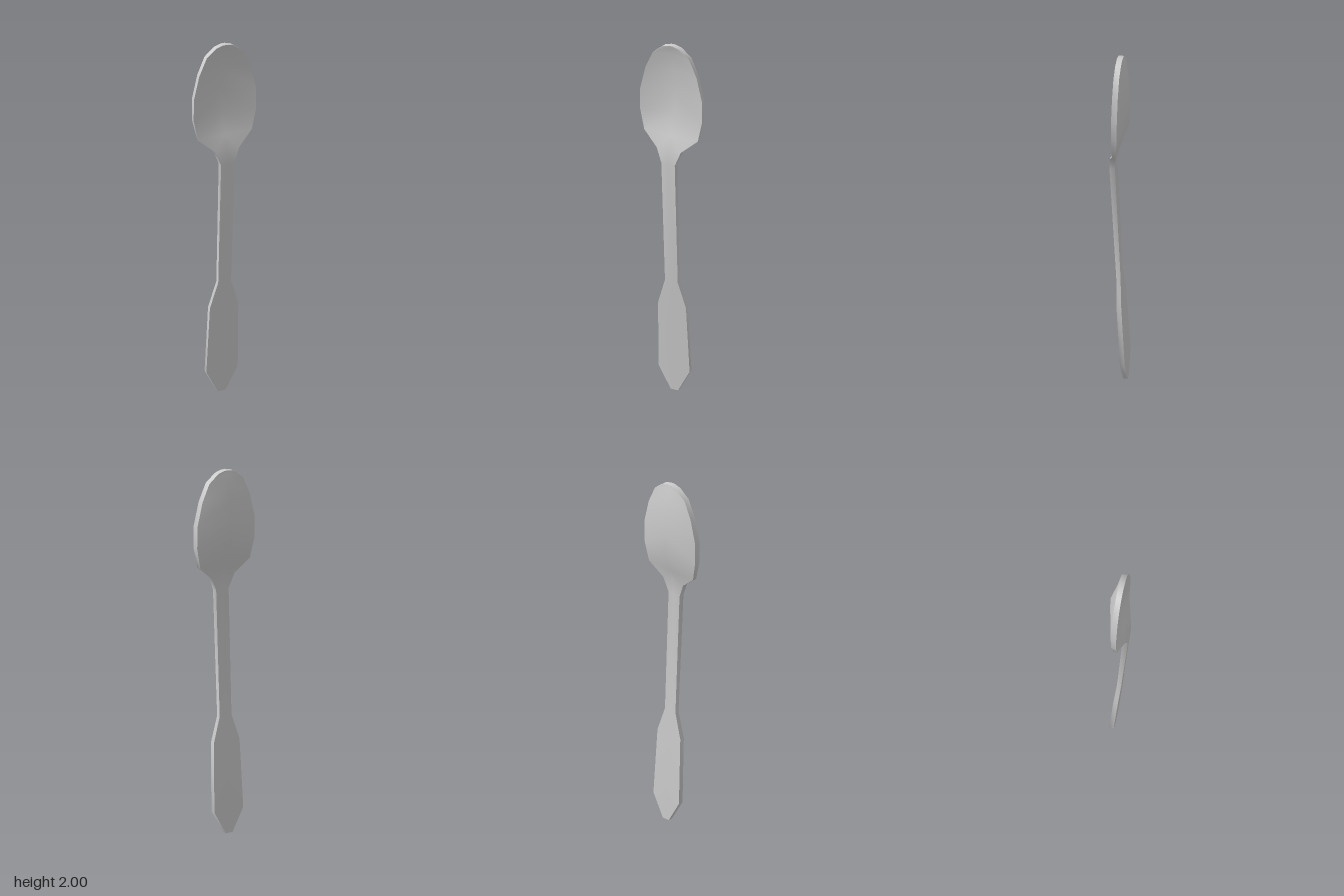
import * as THREE from 'three';
import { toCreasedNormals } from 'three/addons/utils/BufferGeometryUtils.js';

// Sections from handle end to bowl tip:
// [y, half width, rim front z, rim back z, centre front z, centre back z]
const sections = [
  [0.00, 0.022, -0.020, -0.043, -0.020, -0.043],
  [0.125, 0.093, -0.015, -0.040, -0.013, -0.040],
  [0.50, 0.083, 0.006, -0.019, 0.008, -0.019],
  [0.64, 0.038, 0.014, -0.009, 0.016, -0.009],
  [1.33, 0.040, 0.050, 0.021, 0.052, 0.021],
  [1.41, 0.072, 0.042, 0.014, 0.040, 0.012],
  [1.485, 0.160, 0.017, -0.003, 0.017, -0.008],
  [1.60, 0.185, 0.017, -0.012, -0.020, -0.049],
  [1.72, 0.184, 0.017, -0.013, -0.025, -0.053],
  [1.85, 0.152, 0.017, -0.013, -0.022, -0.050],
  [1.945, 0.108, 0.017, -0.013, -0.004, -0.029],
  [1.99, 0.050, 0.017, -0.013, 0.012, -0.016],
  [2.00, 0.012, 0.017, -0.013, 0.017, -0.013],
];

// Skins six-point rings (front left, centre, right, then back right, centre, left)
function loft(rows) {
  const pos = [], idx = [], n = 6;
  for (const [y, w, rf, rb, cf, cb] of rows) {
    const wb = w * 0.975;
    pos.push(-w, y, rf, 0, y, cf, w, y, rf, wb, y, rb, 0, y, cb, -wb, y, rb);
  }
  for (let r = 0; r < rows.length - 1; r++) {
    for (let i = 0; i < n; i++) {
      const a = r * n + i, b = r * n + (i + 1) % n, c = b + n, d = a + n;
      // mirror the diagonals about the centre line
      if (i === 0 || i === 3) idx.push(a, b, c, a, c, d);
      else idx.push(a, b, d, b, c, d);
    }
  }
  // end caps
  const t = (rows.length - 1) * n;
  for (const [a, b, c] of [[0, 1, 4], [0, 4, 5], [1, 2, 3], [1, 3, 4]]) {
    idx.push(a, c, b, t + a, t + b, t + c);
  }
  const geo = new THREE.BufferGeometry();
  geo.setAttribute('position', new THREE.Float32BufferAttribute(pos, 3));
  geo.setIndex(idx);
  return toCreasedNormals(geo, 0.75);
}

export function createModel() {
  const group = new THREE.Group();
  group.name = 'spoon';
  const material = new THREE.MeshStandardMaterial({ color: 0xcccccc });
  // Handle, neck and bowl form one continuous skin
  const body = new THREE.Mesh(loft(sections), material);
  body.name = 'handleAndBowl';
  group.add(body);
  return group;
}
